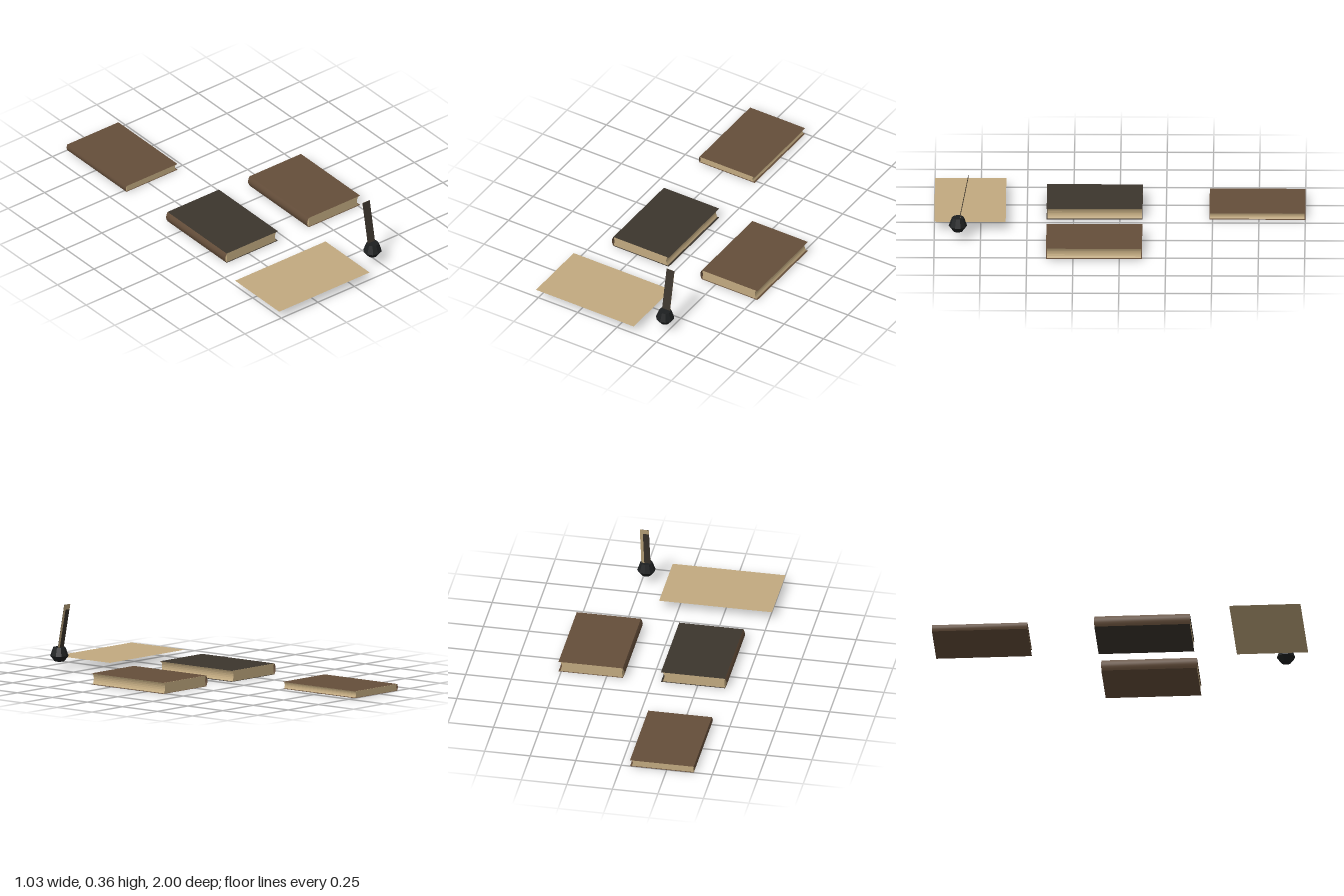
import * as THREE from 'three';

const flat = (name, color, extra = {}) => {
  const m = new THREE.MeshStandardMaterial({ color, ...extra });
  m.name = name;
  return m;
};

// Sheet swept along z from a polyline of [x, y] points
function sweep(points, z0, z1) {
  const pos = [], index = [];
  points.forEach(([x, y], i) => {
    pos.push(x, y, z0, x, y, z1);
    if (i) {
      const a = 2 * i - 2;
      index.push(a, a + 1, a + 2, a + 1, a + 3, a + 2);
    }
  });
  const g = new THREE.BufferGeometry();
  g.setAttribute('position', new THREE.Float32BufferAttribute(pos, 3));
  g.setIndex(index);
  g.computeVertexNormals();
  return g;
}

export function createModel() {
  const root = new THREE.Group();
  const both = { side: THREE.DoubleSide };
  const paper = flat('parchment', 0xc2aa80, both);
  const brown = flat('brown leather', 0x654e3a, both);
  const dark = flat('dark leather', 0x3c352d, both);
  const black = flat('black glass', 0x1d1f20);

  const add = (parent, name, geometry, material) => {
    const m = new THREE.Mesh(geometry, material);
    m.name = name;
    parent.add(m);
    return m;
  };

  // Book lying flat, spine towards -x
  function book(name, x0, x1, z0, z1, h, cover, bulge) {
    const g = new THREE.Group();
    g.name = name;
    const hinge = x0 + bulge;
    add(g, 'backCover', sweep([[hinge, 0], [x1, 0]], z0, z1), cover);
    add(g, 'frontCover', sweep([[x1, h], [hinge, h]], z0, z1), cover);

    // Rounded spine
    const spine = [];
    for (let i = 0; i <= 6; i++) {
      const t = i / 6;
      spine.push([hinge - bulge * Math.sin(Math.PI * t), h * (1 - t)]);
    }
    add(g, 'spine', sweep(spine, z0, z1), brown);

    // Page block with hollowed fore edge and back edge
    const e = 0.0015, inset = 0.004, dip = h * 0.3;
    const s = new THREE.Shape();
    s.moveTo(hinge, e);
    s.lineTo(x1 - 0.01, e);
    s.quadraticCurveTo(x1 - 0.01 - dip, h / 2, x1 - 0.01, h - e);
    s.lineTo(hinge, h - e);
    s.quadraticCurveTo(hinge + 0.008, h / 2, hinge, e);
    const pages = new THREE.ExtrudeGeometry(s, {
      depth: z1 - z0 - 2 * inset, bevelEnabled: false, curveSegments: 6,
    });
    pages.translate(0, 0, z0 + inset);
    add(g, 'pages', pages, paper);
    root.add(g);
  }

  book('darkBook', -0.41, -0.048, -0.122, 0.395, 0.06, dark, 0.01);
  book('brownBook', 0.152, 0.515, -0.122, 0.395, 0.06, brown, 0.01);
  book('thinBook', -0.403, -0.048, -1, -0.483, 0.037, brown, 0.005);

  // Loose sheet
  add(root, 'looseSheet', sweep([[-0.515, 0.047], [0.105, 0.047]], 0.615, 1), paper);

  // Inkwell
  const profile = [[0, 0.045], [0.027, 0.045], [0.05, 0.075], [0.033, 0.122], [0, 0.122]]
    .map(([r, y]) => new THREE.Vector2(r, y));
  const well = new THREE.LatheGeometry(profile, 10).toNonIndexed();
  well.computeVertexNormals();
  add(root, 'inkwell', well, black).position.set(0.225, 0, 0.872);

  // Quill: flat blade leaning back, with a pale tip and edge behind
  const quill = new THREE.Group();
  quill.name = 'quill';
  const blade = new THREE.PlaneGeometry(0.05, 0.286);
  add(quill, 'vane', blade, dark);
  add(quill, 'paleTip', new THREE.PlaneGeometry(0.05, 0.03).translate(0, 0.128, -0.001), paper);
  add(quill, 'paleEdge', new THREE.PlaneGeometry(0.016, 0.256).translate(0.017, -0.015, -0.001), paper);
  quill.position.set(0.225, 0.22, 0.843);
  quill.rotation.x = -0.19;
  root.add(quill);

  return root;
}
